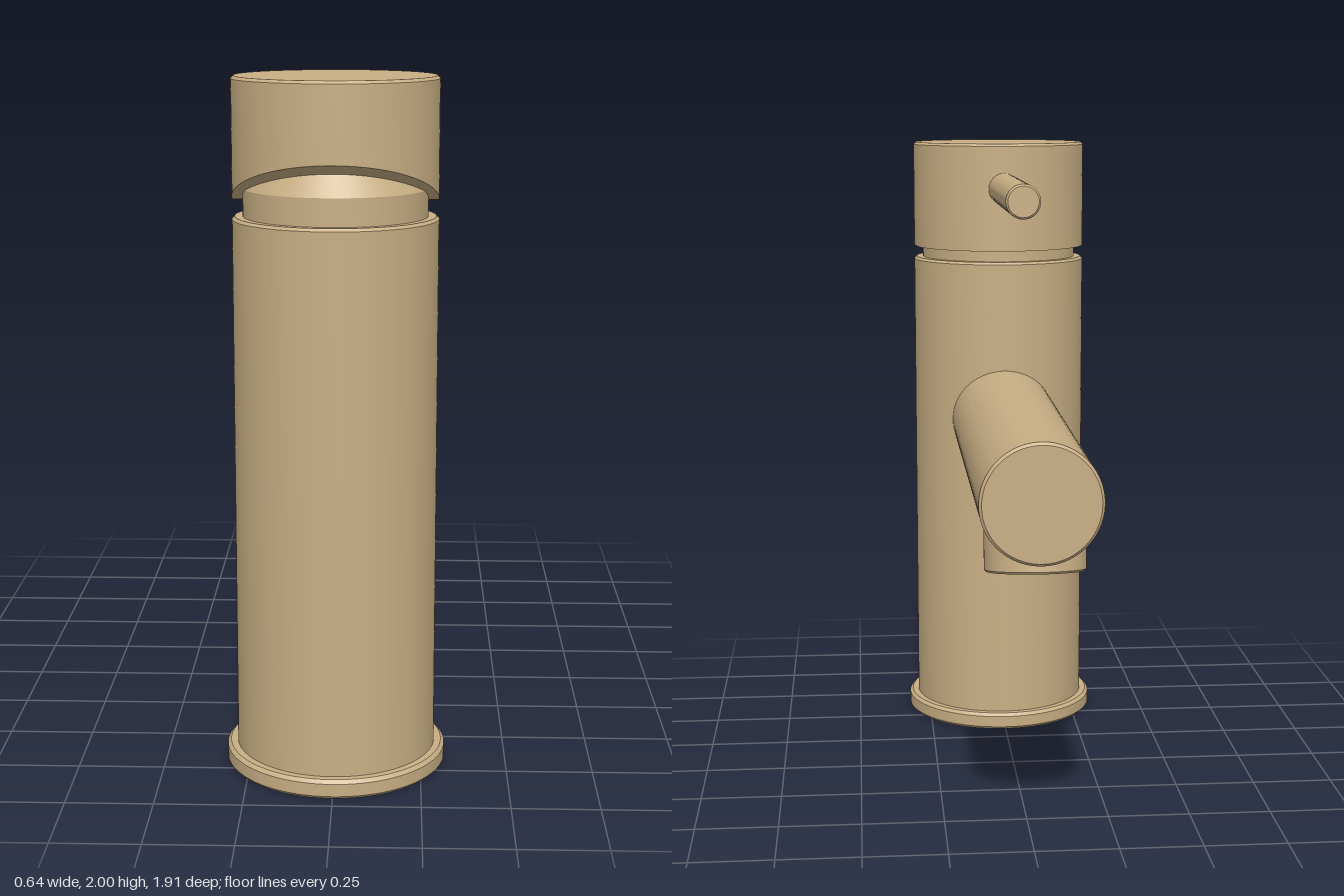
import * as THREE from 'three';
import { toCreasedNormals } from 'three/addons/utils/BufferGeometryUtils.js';

const AXIS_Z = 0.64; // centre of the column
const metal = new THREE.MeshStandardMaterial({ color: 0xc8ae84 });
metal.name = 'brushed brass';

const lathe = (points, segments = 96) =>
  new THREE.LatheGeometry(points.map(([r, y]) => new THREE.Vector2(r, y)), segments);

// Closed round bar with small bevels at both ends
const bar = (r, y0, y1, bevel = 0.008) =>
  lathe([[0, y0], [r - bevel, y0], [r, y0 + bevel], [r, y1 - bevel], [r - bevel, y1], [0, y1]]);

function part(name, geometry, y = 0, z = AXIS_Z) {
  const mesh = new THREE.Mesh(toCreasedNormals(geometry, 0.55), metal);
  mesh.name = name;
  mesh.position.set(0, y, z);
  return mesh;
}

// Cap whose underside is level at the back and rises towards the front
function capGeometry() {
  const r = 0.29, bottom = 1.648, rings = 24;
  const profile = [];
  for (let i = 0; i <= rings; i++) profile.push([r * i / rings, bottom]);
  profile.push([r, 1.992], [r - 0.008, 2], [0, 2]);
  const geometry = lathe(profile);
  const p = geometry.attributes.position;
  for (let i = 0; i < p.count; i++) {
    if (p.getY(i) > bottom + 0.001) continue;
    const t = p.getZ(i) + 0.015;
    p.setY(i, bottom + 0.215 * (t + Math.sqrt(t * t + 0.001)));
  }
  return geometry;
}

// Horizontal spout tube with an opening where the nozzle enters
function spoutGeometry(nozzlePos, nozzleTilt, holeRadius) {
  const r = 0.172, start = -0.45, end = 0.955, steps = 110;
  const profile = [[0, start]];
  for (let i = 0; i <= steps; i++) profile.push([r, start + (end - 0.008 - start) * i / steps]);
  profile.push([r - 0.008, end], [0, end]);
  const geometry = lathe(profile).rotateX(-Math.PI / 2).translate(0, 1.077, 0);
  const p = geometry.attributes.position, index = geometry.index.array, kept = [];
  const c = new THREE.Vector3(), v = new THREE.Vector3(), xAxis = new THREE.Vector3(1, 0, 0);
  for (let i = 0; i < index.length; i += 3) {
    c.set(0, 0, 0);
    for (let k = 0; k < 3; k++) c.add(v.fromBufferAttribute(p, index[i + k]));
    c.divideScalar(3);
    const below = c.y < 1.05;
    c.sub(nozzlePos).applyAxisAngle(xAxis, -nozzleTilt);
    if (below && Math.hypot(c.x, c.z) < holeRadius) continue;
    kept.push(index[i], index[i + 1], index[i + 2]);
  }
  geometry.setIndex(kept);
  return geometry;
}

export function createModel() {
  const model = new THREE.Group();
  model.name = 'basin mixer tap';

  // Column
  model.add(part('baseFlange', bar(0.32, 0, 0.057, 0.01)));
  model.add(part('column', bar(0.29, 0.03, 1.612)));
  model.add(part('neck', lathe([[0, 1.59], [0.26, 1.59], [0.26, 1.69], [0.2, 1.78], [0, 1.78]])));

  // Cap and lever
  model.add(part('cap', capGeometry()));
  model.add(part('lever', bar(0.052, -0.5, 0.365, 0.006).rotateX(-Math.PI / 2), 1.853, 0));

  // Spout with a tilted hollow nozzle
  const nozzlePos = new THREE.Vector3(0, 0.845, -0.76), tilt = 0.177;
  model.add(part('spout', spoutGeometry(nozzlePos, tilt, 0.13), 0, 0));
  const nozzle = part('nozzle', lathe([
    [0, 0.11], [0.115, 0.11], [0.115, 0.006], [0.121, 0],
    [0.139, 0], [0.145, 0.006], [0.145, 0.19], [0, 0.19],
  ]));
  nozzle.position.copy(nozzlePos);
  nozzle.rotation.x = tilt;
  model.add(nozzle);

  return model;
}
